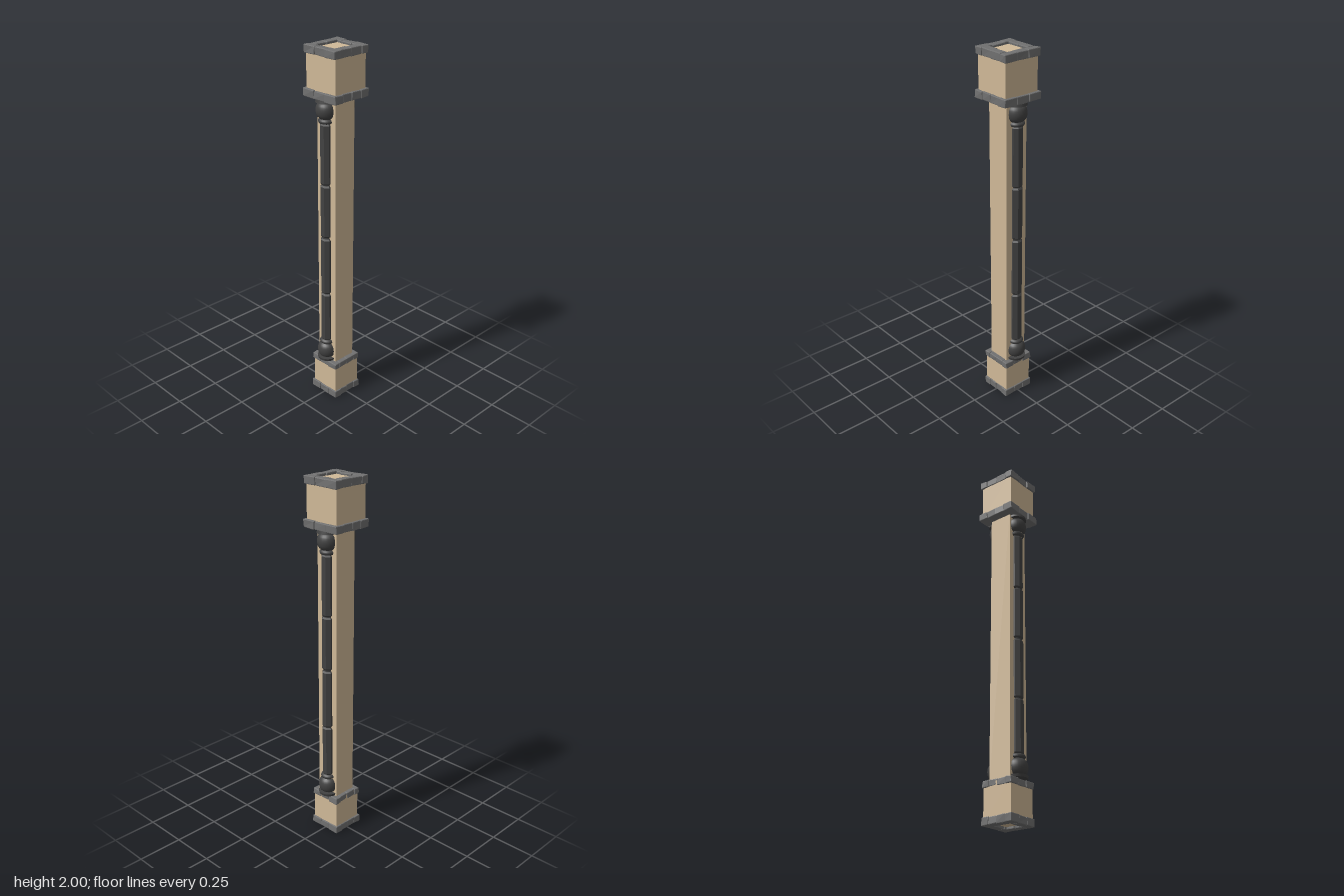
import * as THREE from 'three';
import { RoundedBoxGeometry } from 'three/addons/geometries/RoundedBoxGeometry.js';

export function createModel() {
  const plaster = new THREE.MeshStandardMaterial({ color: 0xd0b998 });
  plaster.name = 'sandPlaster';
  const stone = new THREE.MeshStandardMaterial({ color: 0x707070 });
  stone.name = 'greyStone';
  const dark = new THREE.MeshStandardMaterial({ color: 0x424242 });
  dark.name = 'darkStone';

  const model = new THREE.Group();
  model.name = 'pillar';

  let seed = 7;
  const jitter = (amount) => {
    seed = (seed * 16807) % 2147483647;
    return (seed / 2147483647 - 0.5) * 2 * amount;
  };
  const flat = (geometry) => {
    const g = geometry.index ? geometry.toNonIndexed() : geometry;
    g.computeVertexNormals();
    return g;
  };
  const add = (parent, name, geometry, material, x, y, z) => {
    const mesh = new THREE.Mesh(geometry, material);
    mesh.name = name;
    mesh.position.set(x, y, z);
    parent.add(mesh);
    return mesh;
  };

  // Plain square blocks: plinth, shaft and capital
  const block = (name, half, y0, y1) =>
    add(model, name, new THREE.BoxGeometry(half * 2, y1 - y0, half * 2), plaster, 0, (y0 + y1) / 2, 0);
  block('plinth', 0.086, 0.015, 0.215);
  block('shaft', 0.066, 0.2, 1.77);
  block('capital', 0.103, 1.755, 1.985);

  // Chamfered stone whose eight corners are nudged unevenly
  const addStone = (parent, x, y, z, w, h, d) => {
    const g = new RoundedBoxGeometry(w, h, d, 1, 0.004);
    const corners = Array.from({ length: 8 }, () => [jitter(0.002), jitter(0.0015), jitter(0.0025)]);
    const p = g.attributes.position;
    for (let i = 0; i < p.count; i++) {
      const c = corners[(p.getX(i) > 0) + 2 * (p.getY(i) > 0) + 4 * (p.getZ(i) > 0)];
      p.setXYZ(i, p.getX(i) + c[0], p.getY(i) + c[1], p.getZ(i) + c[2]);
    }
    add(parent, 'trimStone', flat(g), stone, x, y, z);
  };

  // Square ring: three stones along front and back, two along each side
  const addRing = (name, half, inner, y0, y1) => {
    const ring = new THREE.Group();
    ring.name = name;
    model.add(ring);
    const y = (y0 + y1) / 2, h = y1 - y0 - 0.003;
    const depth = half - inner, mid = (half + inner) / 2, length = half * 2 / 3;
    for (const s of [-1, 1]) {
      for (const i of [-1, 0, 1]) {
        const push = i === 0 ? -0.003 : jitter(0.002);
        addStone(ring, i * length, y + (i ? 0 : -0.001), s * (mid + push), length, h, depth);
      }
      for (const i of [-1, 1]) {
        addStone(ring, s * (mid - 0.004 + jitter(0.002)), y, i * inner / 2, depth, h, inner + 0.002);
      }
    }
  };
  addRing('bottomTrim', 0.095, 0.052, 0, 0.044);
  addRing('plinthTrim', 0.092, 0.055, 0.188, 0.226);
  addRing('capitalTrim', 0.117, 0.06, 1.736, 1.782);
  addRing('topTrim', 0.112, 0.07, 1.955, 2);

  // Turned end of a column, from its plate to its collar
  const endProfile = new THREE.SplineCurve([
    [0.034, 0.016], [0.049, 0.03], [0.055, 0.058], [0.049, 0.085], [0.035, 0.1],
  ].map(([r, y]) => new THREE.Vector2(r, y))).getPoints(12);
  const bulb = new THREE.LatheGeometry(endProfile, 24);
  const plate = new THREE.CylinderGeometry(0.056, 0.053, 0.014, 24);
  const collar = new THREE.LatheGeometry([
    [0.03, 0.1], [0.041, 0.106], [0.043, 0.114], [0.039, 0.122], [0.03, 0.126],
  ].map(([r, y]) => new THREE.Vector2(r, y)), 24);

  // Eight-sided drum with chamfered ends
  const drum = (height) => flat(new THREE.LatheGeometry([
    [0, 0], [0.028, 0], [0.035, 0.008], [0.035, height - 0.008], [0.028, height], [0, height],
  ].map(([r, y]) => new THREE.Vector2(r, y)), 8, Math.PI / 8));

  // Engaged columns on the front and back
  for (const [name, side] of [['frontColumn', 1], ['backColumn', -1]]) {
    const column = new THREE.Group();
    column.name = name;
    column.position.set(-0.003, 0, side * 0.062);
    model.add(column);

    for (const [endName, y, turn] of [['columnBase', 0.226, 0], ['columnHead', 1.738, Math.PI]]) {
      const end = new THREE.Group();
      end.name = endName;
      end.position.y = y;
      end.rotation.x = turn;
      column.add(end);
      add(end, 'plate', plate, dark, 0, 0.008, 0);
      add(end, 'bulb', bulb, dark, 0, 0, 0);
      add(end, 'collar', collar, dark, 0, 0, 0);
    }
    add(column, 'core', new THREE.CylinderGeometry(0.026, 0.026, 1.48, 8), dark, 0, 0.982, 0);
    for (const [y0, y1] of [[0.35, 0.643], [0.647, 0.976], [0.985, 1.28], [1.284, 1.612]]) {
      add(column, 'drum', drum(y1 - y0), dark, 0, y0, 0);
    }
  }
  return model;
}
